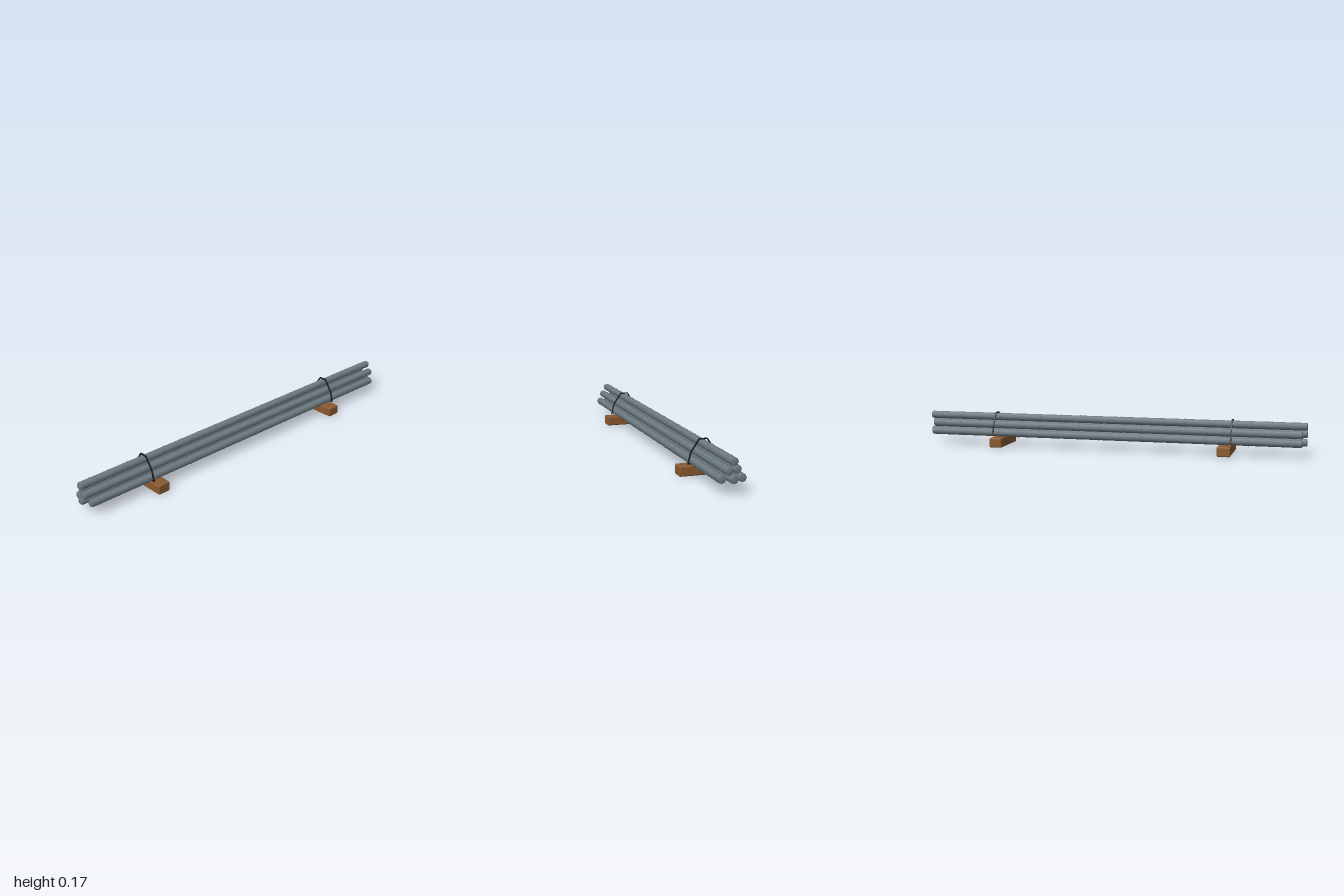
import * as THREE from 'three';
import { RoundedBoxGeometry } from 'three/addons/geometries/RoundedBoxGeometry.js';

const steel = new THREE.MeshStandardMaterial({ color: 0x6e7c82 });
steel.name = 'steel';
const wood = new THREE.MeshStandardMaterial({ color: 0x8a5a30 });
wood.name = 'wood';
const strapBlack = new THREE.MeshStandardMaterial({ color: 0x1b1d1f });
strapBlack.name = 'strap black';

const RADIUS = 0.0193;
const RIB_RADIUS = 0.0208;
const RIB_SPACING = 0.11;

function add(parent, name, geometry, material, x = 0, y = 0, z = 0) {
  const mesh = new THREE.Mesh(geometry, material);
  mesh.name = name;
  mesh.position.set(x, y, z);
  parent.add(mesh);
  return mesh;
}

// Ribbed bar lying along x, with slightly bevelled ends
function createBar(name, half) {
  const bar = new THREE.Group();
  bar.name = name;
  const profile = [
    [0, -half], [RADIUS * 0.8, -half], [RADIUS, -half + 0.005],
    [RADIUS, half - 0.005], [RADIUS * 0.8, half], [0, half],
  ].map(([r, y]) => new THREE.Vector2(r, y));
  add(bar, 'shaft', new THREE.LatheGeometry(profile, 8), steel).rotation.z = Math.PI / 2;

  const rib = new THREE.CylinderGeometry(RIB_RADIUS, RIB_RADIUS, 0.006, 8);
  rib.rotateZ(Math.PI / 2);
  for (let i = 0; i < 18; i++) add(bar, 'rib', rib, steel, (i - 8.5) * RIB_SPACING);
  return bar;
}

// Closed tie strap wrapped around the stack
function createStrapGeometry() {
  const outline = (right) => [
    ...right,
    ...right.slice().reverse().map(([x, y]) => [-x, y]),
  ].map(([x, y]) => new THREE.Vector2(x, y));
  const shape = new THREE.Shape(outline([[0.077, 0.056], [0.063, 0.113], [0.021, 0.175]]));
  shape.holes.push(new THREE.Path(outline([[0.071, 0.062], [0.058, 0.111], [0.018, 0.169]])));
  const geometry = new THREE.ExtrudeGeometry(shape, { depth: 0.007, bevelEnabled: false });
  geometry.translate(0, 0, -0.0035);
  geometry.rotateY(Math.PI / 2);
  return geometry;
}

export function createModel() {
  const model = new THREE.Group();
  model.name = 'barStack';

  // Pyramid of six bars, alternating in length
  let index = 0;
  for (let row = 0; row < 3; row++) {
    const count = 3 - row;
    for (let i = 0; i < count; i++) {
      const half = index % 2 ? 1 : 0.978;
      const bar = createBar(`bar${++index}`, half);
      bar.position.set(0, 0.07 + row * 0.04, ((count - 1) / 2 - i) * 0.048);
      model.add(bar);
    }
  }

  // Timber bearers and tie straps near both ends
  const bearer = new RoundedBoxGeometry(0.068, 0.05, 0.232, 2, 0.007);
  const strap = createStrapGeometry();
  for (const side of [-1, 1]) {
    add(model, 'bearer', bearer, wood, side * 0.599, 0.025, 0);
    add(model, 'strap', strap, strapBlack, side * 0.628, 0, 0);
  }
  return model;
}
